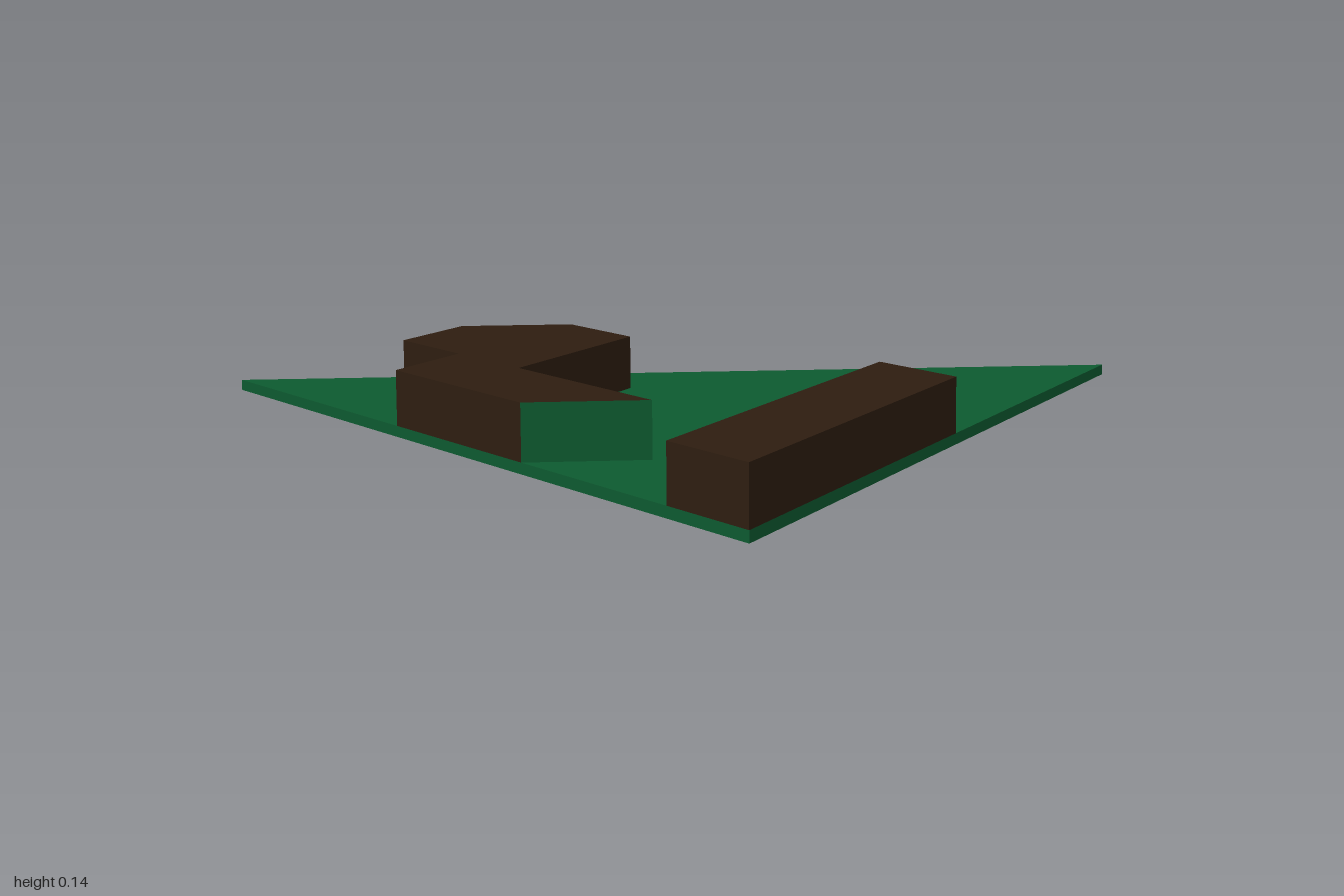
import * as THREE from 'three';

const BASE = 0.023, TOP = 0.139;
const U = 0.125, V = Math.sqrt(3) / 8; // triangular grid steps in x and z

const green = new THREE.MeshStandardMaterial({ color: 0x0d5a30 });
const brown = new THREE.MeshStandardMaterial({ color: 0x2e1d10 });

// Upright prism over a floor outline given in grid steps [x, z]
function prism(outline, y0, y1) {
  const shape = new THREE.Shape(outline.map(([x, z]) => new THREE.Vector2(x * U, -z * V)));
  const geo = new THREE.ExtrudeGeometry(shape, { depth: y1 - y0, bevelEnabled: false });
  return geo.rotateX(-Math.PI / 2).translate(0, y0, 0);
}

// Brown wall whose ends, slanting with the board's left edge, are green
function wall(name, outline) {
  const geo = prism(outline, BASE, TOP);
  const n = geo.attributes.normal;
  geo.clearGroups();
  for (let i = 0; i < n.count; i += 3) {
    geo.addGroup(i, 3, n.getX(i) * n.getZ(i) > 0.1 ? 1 : 0);
  }
  const mesh = new THREE.Mesh(geo, [brown, green]);
  mesh.name = name;
  return mesh;
}

export function createModel() {
  const group = new THREE.Group();
  group.name = 'triangularTile';

  // Thin triangular board
  const board = new THREE.Mesh(prism([[-8, 4], [8, 4], [0, -4]], 0, BASE), green);
  board.name = 'board';
  group.add(board);

  // Bent wall from the board's left edge to the front edge
  group.add(wall('bentWall', [
    [-6, 2], [-5, 3], [-3, 3], [-2, 4], [2, 4], [3, 3], [-1, 3], [-3, 1], [-5, 1],
  ]));

  // Straight wall along the other slanted edge
  group.add(wall('straightWall', [[2, 0], [6, 4], [8, 4], [4, 0]]));

  return group;
}
